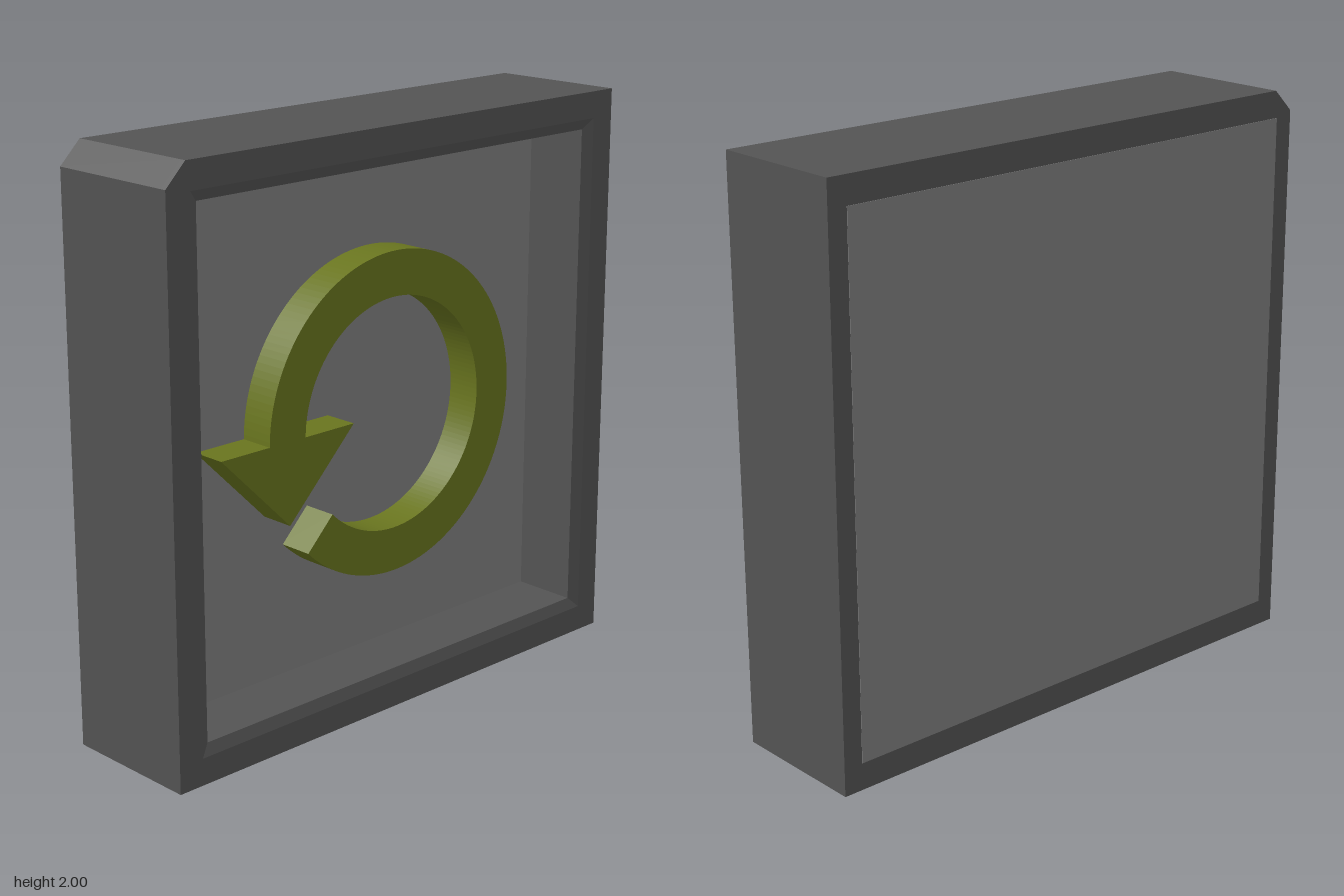
import * as THREE from 'three';

const polygon = (Type, pts) => new Type(pts.map(([x, y]) => new THREE.Vector2(x, y)));

function addMesh(group, name, geometry, color) {
  const mesh = new THREE.Mesh(geometry, new THREE.MeshStandardMaterial({ color }));
  mesh.name = name;
  group.add(mesh);
  return mesh;
}

// Square frame with one clipped corner and a bevelled lip around the opening
function frameGeometry() {
  const inner = 0.87, outer = 0.907, half = 0.25, lip = 0.02, clip = 0.077;
  const shape = polygon(THREE.Shape, [[-1, -1], [1, -1], [1, 1], [-1 + clip, 1], [-1, 1 - clip]]);
  shape.holes.push(polygon(THREE.Path, [[-inner, -inner], [-inner, inner], [inner, inner], [inner, -inner]]));
  const geo = new THREE.ExtrudeGeometry(shape, { depth: 2 * half, steps: 2, bevelEnabled: false });
  geo.translate(0, 0, -half);
  const p = geo.attributes.position;
  for (let i = 0; i < p.count; i++) {
    const x = p.getX(i), y = p.getY(i), z = p.getZ(i);
    // the middle ring becomes the foot of the lip
    if (Math.abs(z) < 0.01) p.setZ(i, half - lip);
    // the front edge of the opening flares outward
    if (z > half - 0.01 && Math.abs(x) < 0.9 && Math.abs(y) < 0.9) {
      p.setXY(i, Math.sign(x) * outer, Math.sign(y) * outer);
    }
  }
  geo.computeVertexNormals();
  geo.translate(0, 1, 0);
  return geo;
}

// Circular arrow: ring section from the head clockwise round to the tail
function arrowGeometry() {
  const cx = 0.064, cy = 0.992, rOut = 0.562, rIn = 0.406;
  const start = Math.PI, end = -Math.PI * 0.75;
  const shape = new THREE.Shape();
  shape.moveTo(-0.702, 1);
  shape.lineTo(cx - rOut, 1);
  shape.absarc(cx, cy, rOut, start, end, true);
  shape.absarc(cx, cy, rIn, end, start, false);
  shape.lineTo(cx - rIn, 1);
  shape.lineTo(-0.125, 1);
  shape.lineTo(-0.413, 0.713);
  shape.closePath();
  return new THREE.ExtrudeGeometry(shape, { depth: 0.135, curveSegments: 64, bevelEnabled: false });
}

export function createModel() {
  const group = new THREE.Group();
  addMesh(group, 'frame', frameGeometry(), 0x545454);

  // Panel set into the frame, standing very slightly proud at the back
  const front = 0, back = -0.252;
  const panel = addMesh(group, 'panel', new THREE.BoxGeometry(1.86, 1.81, front - back), 0x808080);
  panel.position.set(0, 1, (front + back) / 2);

  const arrow = addMesh(group, 'circularArrow', arrowGeometry(), 0x69751f);
  arrow.position.z = -0.01;
  return group;
}
